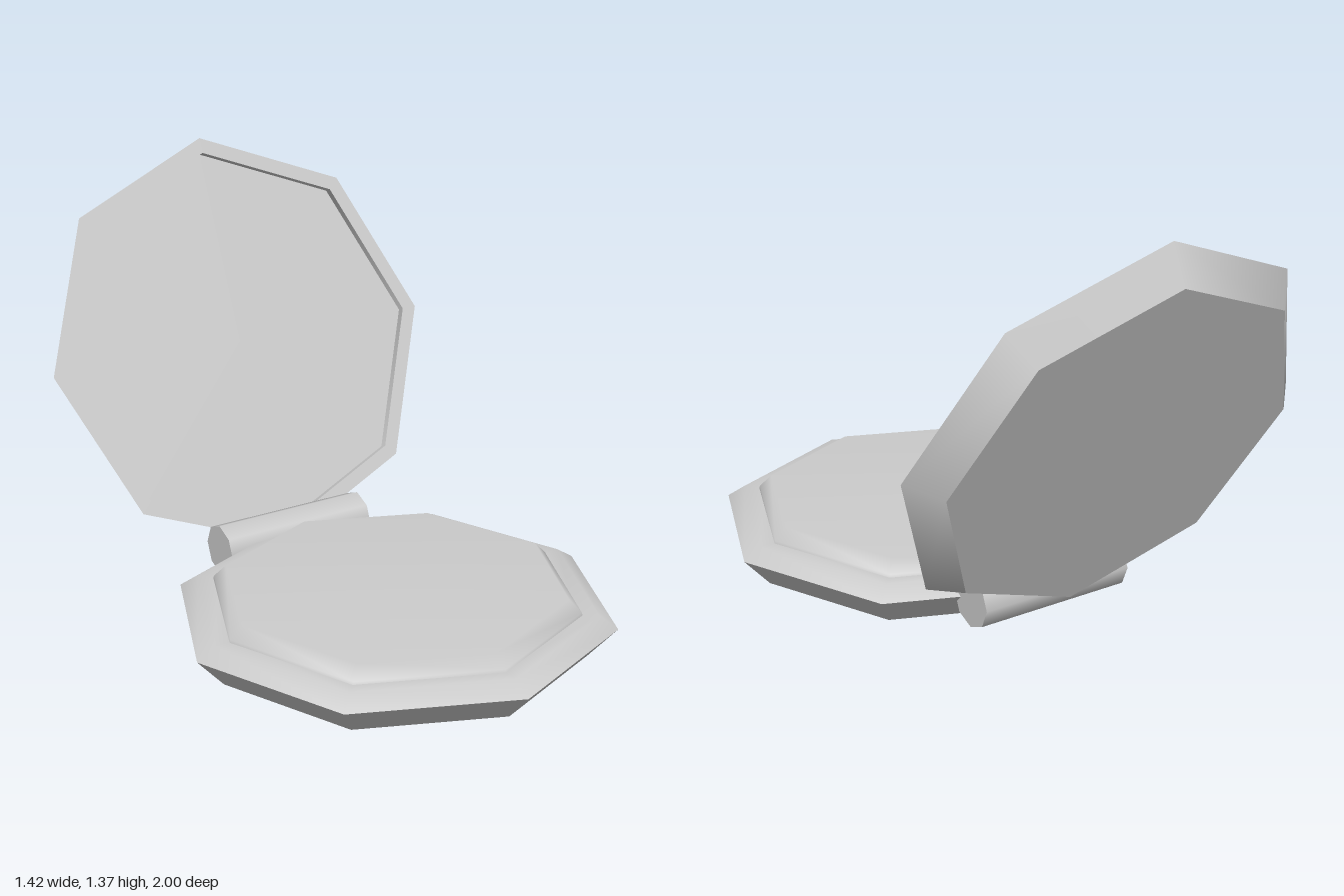
import * as THREE from 'three';

const SIDES = 8;

export function createModel() {
  const model = new THREE.Group();
  model.name = 'compactMirror';
  const grey = new THREE.MeshStandardMaterial({ color: 0xcccccc });
  grey.name = 'grey';

  // One octagonal band (or disc) turned from a profile of [radius, height]
  function band(parent, name, profile) {
    const points = profile.map(([r, y]) => new THREE.Vector2(r, y));
    const mesh = new THREE.Mesh(new THREE.LatheGeometry(points, SIDES), grey);
    mesh.name = name;
    parent.add(mesh);
  }

  // Flared octagonal tray shared by the base and the lid
  function shell(parent, name) {
    band(parent, name + 'Floor', [[0, 0], [0.62, 0]]);
    band(parent, name + 'Wall', [[0.62, 0], [0.71, 0.1]]);
  }

  // Base with raised rim and powder pad
  const base = new THREE.Group();
  base.name = 'base';
  base.position.z = 0.285;
  shell(base, 'base');
  band(base, 'baseRim', [[0.71, 0.1], [0.65, 0.14], [0.58, 0.135]]);
  band(base, 'powderPad', [[0.6, 0.13], [0.595, 0.145], [0.555, 0.185], [0, 0.185]]);
  model.add(base);

  // Lid leaning back, with a sunken mirror on its inner side
  const lid = new THREE.Group();
  lid.name = 'lid';
  lid.position.set(0, 0.675, -0.762);
  lid.rotation.x = THREE.MathUtils.degToRad(66.5);
  shell(lid, 'lid');
  band(lid, 'lidRim', [[0.71, 0.1], [0.658, 0.1]]);
  band(lid, 'lidRecess', [[0.658, 0.1], [0.658, 0.073]]);
  band(lid, 'mirror', [[0.658, 0.073], [0, 0.073]]);
  model.add(lid);

  // Hinge barrel
  const hinge = new THREE.Mesh(new THREE.CylinderGeometry(0.088, 0.088, 0.545, SIDES), grey);
  hinge.name = 'hinge';
  hinge.rotation.z = Math.PI / 2;
  hinge.position.set(0, 0.107, -0.367);
  model.add(hinge);

  return model;
}
